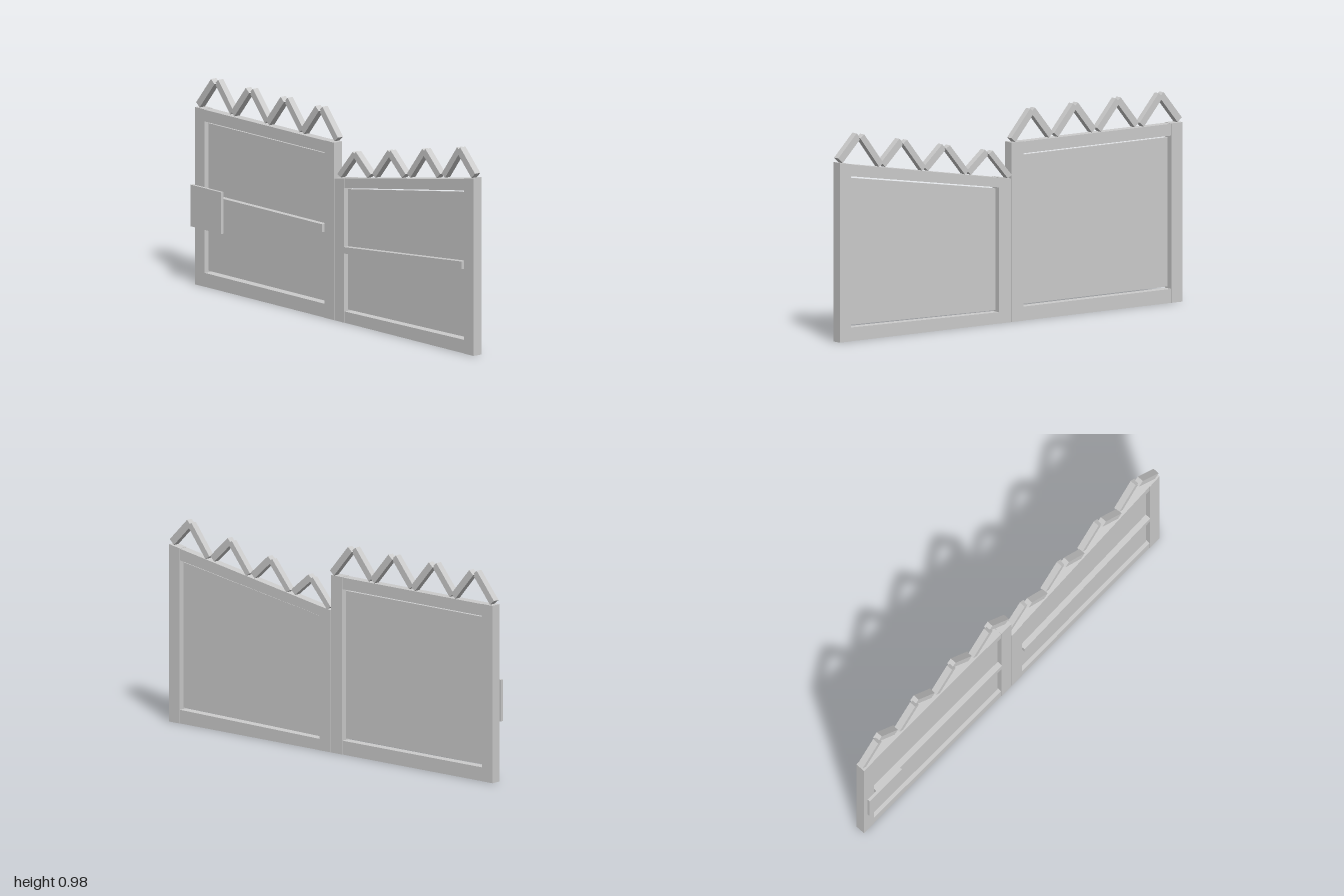
import * as THREE from 'three';

const HALF = 0.99;

export function createModel() {
  const model = new THREE.Group();
  model.name = 'doubleGate';
  const metal = new THREE.MeshStandardMaterial({ color: 0xcccccc });
  metal.name = 'plain grey';

  // One gate leaf; side -1 is level, side +1 slopes down towards the centre
  function makeLeaf(side) {
    const leaf = new THREE.Group();
    leaf.name = side < 0 ? 'levelLeaf' : 'slopedLeaf';
    const slope = x => (side < 0 ? 1 : 0.8 + 0.2 * x / HALF);

    function add(name, geometry) {
      const p = geometry.attributes.position;
      for (let i = 0; i < p.count; i++) p.setY(i, p.getY(i) * slope(p.getX(i)));
      geometry.computeVertexNormals();
      const mesh = new THREE.Mesh(geometry, metal);
      mesh.name = name;
      leaf.add(mesh);
    }

    // Box by limits; x is the distance from the gate centre
    function box(name, x0, x1, y0, y1, z0, z1) {
      const g = new THREE.BoxGeometry(x1 - x0, y1 - y0, z1 - z0);
      g.translate(side * (x0 + x1) / 2, (y0 + y1) / 2, (z0 + z1) / 2);
      add(name, g);
    }

    // Slanted bar between two points
    function bar(name, x0, y0, x1, y1, z0, z1) {
      const dx = side * (x1 - x0), dy = y1 - y0;
      const g = new THREE.BoxGeometry(Math.hypot(dx, dy), 0.032, z1 - z0);
      g.rotateZ(Math.atan2(dy, dx));
      g.translate(side * (x0 + x1) / 2, (y0 + y1) / 2, (z0 + z1) / 2);
      add(name, g);
    }

    // Frame
    box('innerPost', 0.002, 0.07, 0, 0.835, -0.038, 0.01);
    box('outerPost', 0.925, HALF, 0, 0.835, -0.038, 0.01);
    box('topRail', 0.07, 0.925, 0.778, 0.833, -0.036, 0.008);
    box('bottomRail', 0.07, 0.925, 0, 0.065, -0.036, 0.008);

    // Infill sheet with a narrow gap all round, and its crossbar
    box('panel', 0.078, 0.917, 0.075, 0.769, -0.02, -0.008);
    box('crossbar', 0.075, 0.917, 0.403, 0.44, -0.008, 0.02);

    // Zigzag crest: the two bars of each tooth overlap in depth
    const pitch = HALF / 4;
    for (let i = 0; i < 4; i++) {
      const x = i * pitch;
      bar('crestBarInner', x + 0.01, 0.846, x + 0.12, 0.973, -0.041, -0.01);
      bar('crestBarOuter', x + pitch - 0.01, 0.846, x + 0.132, 0.973, -0.03, 0.002);
    }
    return leaf;
  }

  model.add(makeLeaf(-1), makeLeaf(1));

  // Blank sign plate standing proud of the level leaf
  const sign = new THREE.Mesh(new THREE.BoxGeometry(0.216, 0.196, 0.014), metal);
  sign.position.set(-0.877, 0.377, 0.034);
  sign.name = 'signPlate';
  model.add(sign);

  return model;
}
